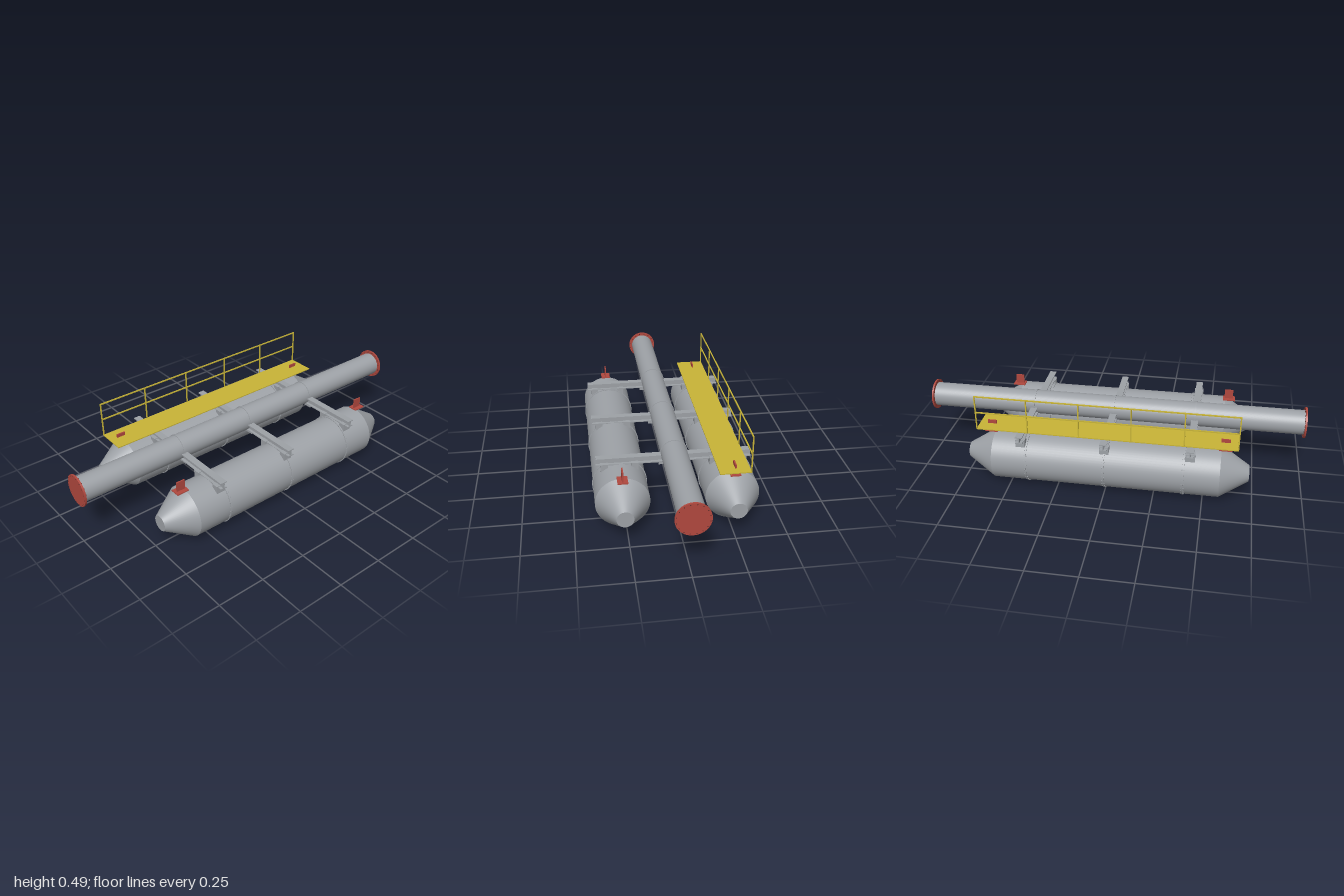
import * as THREE from 'three';

const mat = (name, color) => {
  const m = new THREE.MeshStandardMaterial({ color });
  m.name = name;
  return m;
};

export function createModel() {
  const model = new THREE.Group();
  model.name = 'floatingPipeline';
  const grey = mat('steelGrey', 0x9da1a6);
  const red = mat('fittingRed', 0xb0483e);
  const yellow = mat('walkwayYellow', 0xc8b437);
  const dark = mat('boltDark', 0x5a2c28);

  const add = (parent, name, geo, material, x = 0, y = 0, z = 0) => {
    const m = new THREE.Mesh(geo, material);
    m.name = name;
    m.position.set(x, y, z);
    parent.add(m);
    return m;
  };
  const box = (parent, name, material, w, h, d, x, y, z) =>
    add(parent, name, new THREE.BoxGeometry(w, h, d), material, x, y, z);
  // cylinder lying along x
  const rod = (parent, name, material, r, len, x, y, z, seg = 48) =>
    add(parent, name, new THREE.CylinderGeometry(r, r, len, seg).rotateZ(Math.PI / 2), material, x, y, z);
  // ring of small bolts around the x axis
  const bolts = (parent, name, material, n, ringR, r, len, x, y, z) => {
    for (let i = 0; i < n; i++) {
      const a = ((i + 0.5) / n) * Math.PI * 2;
      rod(parent, name, material, r, len, x, y + ringR * Math.sin(a), z + ringR * Math.cos(a), 6);
    }
  };

  const beamX = [-0.43, 0, 0.43];
  const floatY = 0.136;

  // floats with cone ends, joint bands and lifting lugs
  for (const z of [-0.265, 0.265]) {
    const float = new THREE.Group();
    float.name = z > 0 ? 'frontFloat' : 'backFloat';
    model.add(float);
    rod(float, 'floatBody', grey, 0.132, 1.16, 0, floatY, z, 64);
    for (const s of [-1, 1]) {
      const cone = new THREE.CylinderGeometry(0.041, 0.132, 0.145, 64).rotateZ(-s * Math.PI / 2);
      add(float, 'floatCone', cone, grey, s * 0.6525, floatY, z);
      box(float, 'lugBase', red, 0.066, 0.005, 0.05, s * 0.6, 0.271, z);
      box(float, 'lugPlate', red, 0.046, 0.052, 0.007, s * 0.598, 0.298, z);
    }
    for (const x of [-0.4, 0, 0.4]) {
      rod(float, 'jointBand', grey, 0.136, 0.007, x, floatY, z, 64);
      bolts(float, 'bandBolt', grey, 32, 0.1335, 0.002, 0.014, x, floatY, z);
    }
  }

  // central pipe with end flanges and clamp rings
  const pipe = new THREE.Group();
  pipe.name = 'pipe';
  model.add(pipe);
  const pipeY = 0.305;
  rod(pipe, 'pipeBody', grey, 0.064, 1.98, 0, pipeY, 0, 64);
  for (const s of [-1, 1]) {
    rod(pipe, 'endFlange', red, 0.081, 0.009, s * 0.9945, pipeY, 0, 64);
    bolts(pipe, 'flangeBolt', dark, 16, 0.074, 0.0025, 0.014, s * 0.993, pipeY, 0);
  }

  // cross beams: I-section, float brackets, pipe cradle and clamp
  for (const x of beamX) {
    const beam = new THREE.Group();
    beam.name = 'crossBeam';
    model.add(beam);
    box(beam, 'topFlange', grey, 0.036, 0.005, 0.76, x, 0.2985, 0);
    box(beam, 'bottomFlange', grey, 0.036, 0.005, 0.76, x, 0.2665, 0);
    box(beam, 'web', grey, 0.006, 0.03, 0.76, x, 0.2825, 0);
    for (const z of [-0.34, -0.192, 0.192, 0.34])
      box(beam, 'floatBracket', grey, 0.048, 0.04, 0.035, x, 0.252, z);
    box(beam, 'pipeCradle', grey, 0.01, 0.022, 0.15, x, 0.255, 0);
    rod(beam, 'pipeClamp', grey, 0.067, 0.008, x, pipeY, 0, 64);
  }

  // walkway deck and guard rail on the back float
  const walkway = new THREE.Group();
  walkway.name = 'walkway';
  model.add(walkway);
  box(walkway, 'deck', yellow, 1.325, 0.005, 0.15, 0, 0.3035, -0.257);
  for (let i = 0; i < 6; i++)
    box(walkway, 'railPost', yellow, 0.006, 0.187, 0.006, -0.66 + i * 0.264, 0.3975, -0.33);
  for (const y of [0.398, 0.488])
    box(walkway, 'rail', yellow, 1.326, 0.006, 0.006, 0, y, -0.33);

  return model;
}
